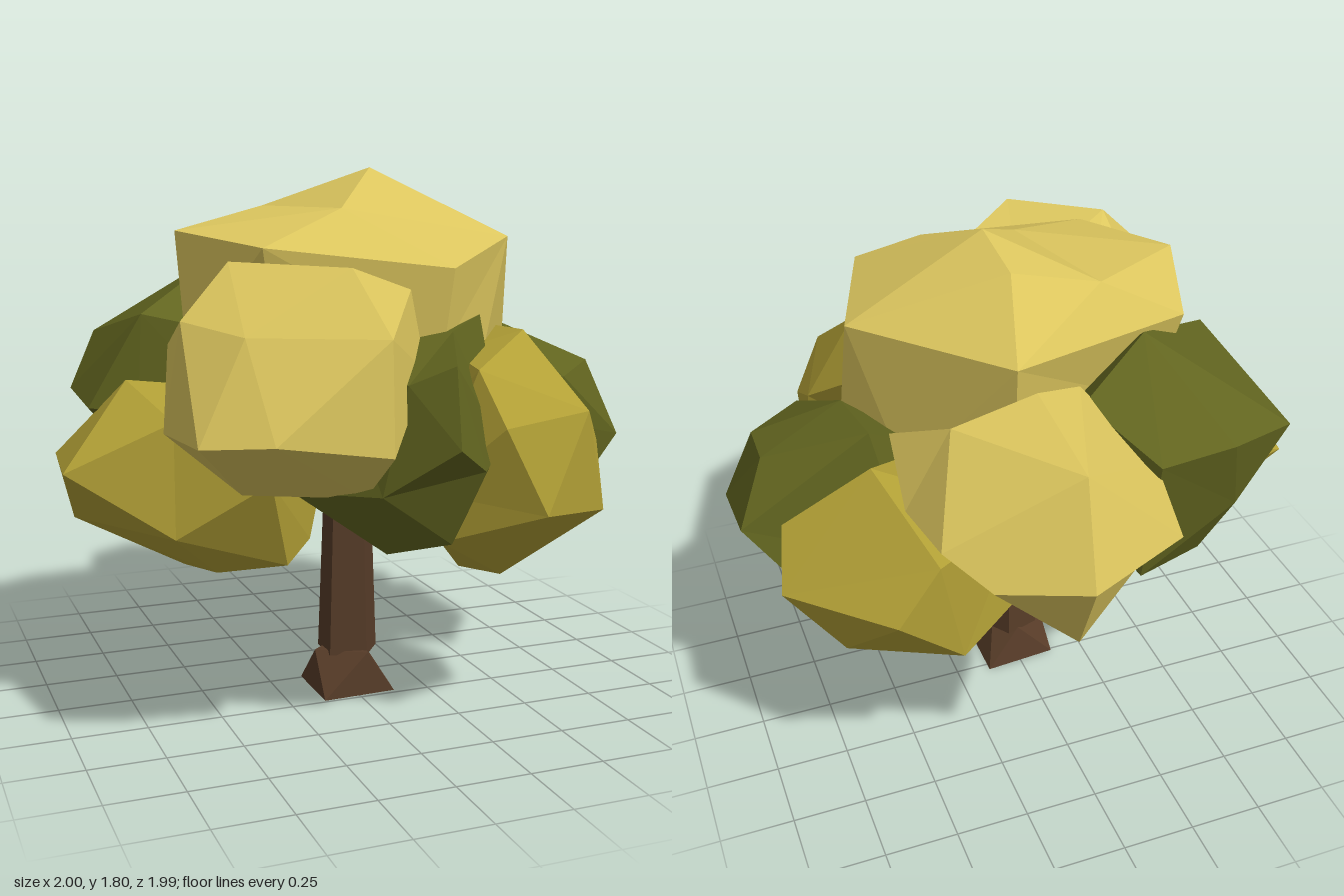
import * as THREE from 'three';
import { ConvexGeometry } from 'three/addons/geometries/ConvexGeometry.js';

const LIGHT = 0xdcc65e, MUSTARD = 0xb2a036, OLIVE = 0x61641f, BARK = 0x573c28;

// Small seeded generator for the irregular facets
function seeded(seed) {
  let s = seed * 7919 + 17;
  return () => (s = (s * 16807) % 2147483647) / 2147483647;
}

// The twenty distinct corners of a dodecahedron
function roundCorners() {
  const position = new THREE.DodecahedronGeometry(1).getAttribute('position');
  const corners = new Map();
  for (let i = 0; i < position.count; i++) {
    const v = new THREE.Vector3().fromBufferAttribute(position, i);
    corners.set(v.toArray().map((n) => Math.round(n * 100)).join(), v);
  }
  return [...corners.values()];
}

// Leaf clump: directions are joined on a sphere, then each corner is moved out
// to its own distance, which gives both ridges and dents
function clumpGeometry(centre, radii, peaks, rand) {
  const c = new THREE.Vector3(...centre), r = new THREE.Vector3(...radii);
  const turn = new THREE.Euler(rand() * 6, rand() * 6, rand() * 6);
  const points = peaks.map((p) => {
    const at = new THREE.Vector3(...p);
    return { at, dir: at.clone().sub(c).divide(r).normalize() };
  });
  const peakCount = points.length;
  for (const corner of roundCorners()) {
    const dir = corner.applyEuler(turn);
    const size = 0.9 + rand() * 0.16;
    if (points.slice(0, peakCount).some((p) => p.dir.dot(dir) > 0.86)) continue;
    points.push({ dir, at: dir.clone().multiplyScalar(size).multiply(r).add(c) });
  }
  const geometry = new ConvexGeometry(points.map((p) => p.dir));
  const position = geometry.getAttribute('position');
  const v = new THREE.Vector3();
  for (let i = 0; i < position.count; i++) {
    v.fromBufferAttribute(position, i);
    const { at } = points.reduce((a, b) => (b.dir.dot(v) > a.dir.dot(v) ? b : a));
    position.setXYZ(i, at.x, at.y, at.z);
  }
  geometry.computeVertexNormals();
  return geometry;
}

export function createModel() {
  const tree = new THREE.Group();
  tree.name = 'tree';

  const add = (name, geometry, color) => {
    const material = new THREE.MeshStandardMaterial({ color, flatShading: true });
    const mesh = new THREE.Mesh(geometry, material);
    mesh.name = name;
    tree.add(mesh);
    return mesh;
  };
  const rand = seeded(5);
  const clump = (name, color, centre, radii, peaks) =>
    add(name, clumpGeometry(centre, radii, peaks, rand), color);

  // Pale upper foliage
  clump('topFoliage', LIGHT, [0, 1.24, 0.13], [0.57, 0.46, 0.53], [
    [0.11, 1.8, 0.03], [-0.59, 1.6, 0.1], [0.58, 1.56, 0], [0.43, 1.58, 0.43],
    [0.12, 1.5, 0.69], [-0.42, 1.56, 0.49], [0.16, 1.54, -0.42], [-0.2, 1.67, -0.2],
    [-0.08, 1.67, 0.26], [0.59, 1.22, 0.1], [0.1, 1.25, 0.66], [-0.57, 1.2, 0.15],
    [0.1, 1.75, -0.2], [-0.5, 1.5, -0.2]]);
  clump('frontRightFoliage', LIGHT, [-0.36, 1.17, 0.58], [0.4, 0.36, 0.39], [
    [-0.2, 1.33, 0.97], [-0.27, 1.52, 0.84], [-0.72, 1.37, 0.66], [-0.2, 1, 0.99],
    [-0.73, 1.04, 0.87], [-0.56, 1.53, 0.6], [-0.17, 0.82, 0.7], [-0.54, 1.05, 0.97],
    [-0.02, 1.44, 0.68], [0.06, 1.18, 0.62], [-0.65, 1.25, 0.22], [-0.76, 1.04, 0.6]]);
  clump('backFoliage', LIGHT, [0.16, 1.13, -0.6], [0.38, 0.35, 0.38], [
    [0.14, 1.12, -1], [-0.16, 1.2, -0.93], [0.12, 1.44, -0.87], [0.52, 1.2, -0.76],
    [0.4, 1.44, -0.5], [0.1, 0.77, -0.8], [0.12, 1.49, -0.48], [-0.25, 1.2, -0.56],
    [0.4, 1.1, -0.87], [0.53, 1.32, -0.28], [0.55, 1.18, -0.5], [-0.06, 1.42, -0.38]]);

  // Mustard lower foliage
  clump('rightFoliage', MUSTARD, [-0.55, 0.8, 0.1], [0.4, 0.32, 0.34], [
    [-1, 0.87, 0.27], [-0.95, 0.85, -0.17], [-0.94, 0.69, 0.1], [-0.54, 0.45, -0.05],
    [-0.17, 0.57, 0.2], [-0.4, 0.84, 0.5], [-0.75, 1.12, 0.05], [-0.3, 0.53, 0.35],
    [-0.1, 0.7, 0.1], [-0.5, 0.49, 0.22]]);
  clump('frontLeftFoliage', MUSTARD, [0.34, 0.9, 0.55], [0.33, 0.37, 0.36], [
    [0.33, 0.51, 0.62], [0.33, 0.77, 0.92], [0.43, 1.29, 0.55], [0.63, 1.05, 0.47],
    [0.6, 0.74, 0.79], [0.17, 1.2, 0.76], [0.5, 1.07, 0.85], [0.08, 0.66, 0.7],
    [0.63, 0.68, 0.5], [0.04, 0.82, 0.7], [0.2, 1.04, 0.89], [0.48, 1.27, 0.16],
    [0.2, 0.54, 0.58]]);
  clump('backLeftFoliage', MUSTARD, [0.47, 0.87, -0.34], [0.4, 0.33, 0.35], [
    [0.93, 0.88, -0.39], [0.65, 0.93, -0.73], [0.42, 0.68, -0.64], [0.5, 0.56, -0.43],
    [0.6, 1.22, -0.3], [0.5, 1.08, -0.68], [0.27, 0.54, -0.05], [0.08, 0.75, -0.42],
    [0.88, 1.02, -0.22], [-0.01, 0.64, -0.18]]);

  // Dark olive foliage
  clump('leftFoliage', OLIVE, [0.63, 0.92, 0.05], [0.35, 0.34, 0.34], [
    [1, 0.98, -0.15], [0.99, 0.86, 0.24], [0.89, 1.14, 0], [0.74, 0.55, 0.08],
    [0.57, 1.27, -0.18], [0.64, 0.95, 0.39], [0.69, 1.1, 0.37], [0.75, 0.64, -0.26],
    [0.72, 0.6, 0.32], [0.6, 1.26, 0.06]]);
  clump('backRightFoliage', OLIVE, [-0.43, 1.09, -0.28], [0.4, 0.36, 0.35], [
    [-0.74, 1.22, -0.53], [-0.49, 1.25, -0.63], [-0.22, 1.25, -0.66], [-0.87, 1.05, -0.3],
    [-0.86, 1.02, -0.03], [-0.06, 1.38, -0.42], [-0.69, 1.33, 0.03], [-0.22, 0.76, -0.56],
    [-0.48, 0.74, -0.46], [-0.32, 1.51, -0.28], [-0.7, 1, 0]]);
  clump('frontFoliage', OLIVE, [0.02, 0.97, 0.57], [0.32, 0.34, 0.33], [
    [0.02, 1, 0.96], [0.13, 0.92, 0.9], [0.29, 1.34, 0.52], [0.02, 1.24, 0.92],
    [-0.1, 1.18, 0.85], [-0.1, 0.64, 0.7], [0.07, 0.68, 0.8], [-0.35, 0.82, 0.55],
    [0.12, 1.31, 0.68]]);

  // Tapered faceted trunk
  const trunk = add('trunk', new THREE.CylinderGeometry(0.075, 0.108, 0.87, 5), BARK);
  trunk.position.set(0.005, 0.565, 0.1);
  trunk.rotation.y = 0.3;

  // Root flare: square foot twisted into a smaller collar
  const foot = [[-0.13, 0, 0.24], [0.13, 0, 0.23], [0.13, 0, -0.03], [-0.13, 0, -0.01],
    [0.03, 0.15, 0.23], [-0.12, 0.14, 0.11], [0.07, 0.13, 0.1], [0, 0.14, 0.01]];
  add('rootFlare', new ConvexGeometry(foot.map((p) => new THREE.Vector3(...p))), BARK);

  return tree;
}
